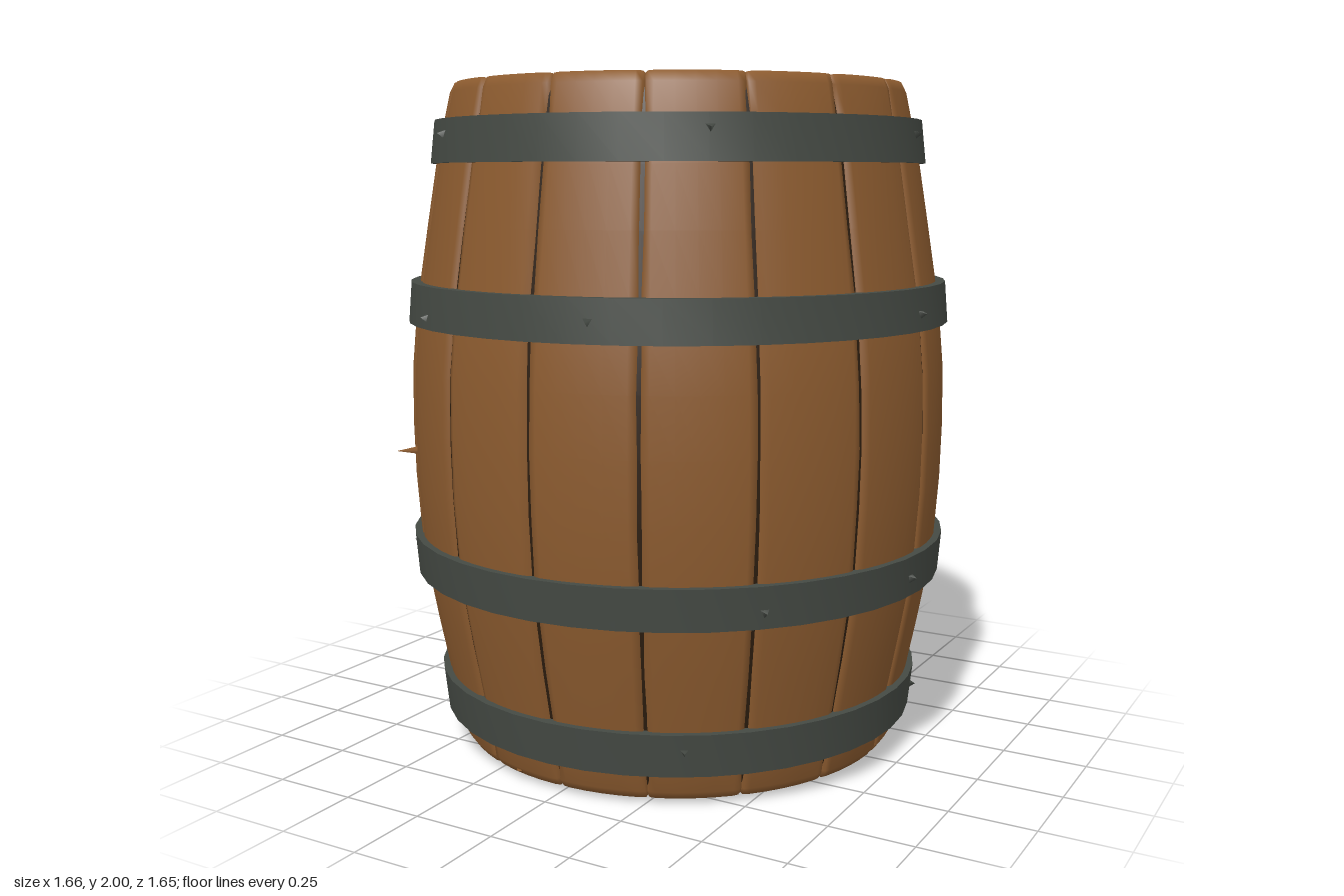
import * as THREE from 'three';
import { toCreasedNormals } from 'three/addons/utils/BufferGeometryUtils.js';

const STAVES = 16;

// Side profile [radius, height] from the inner bottom lip to the inner top lip
const PROFILE = [
  [0.585, 0.075], [0.592, 0.04], [0.62, 0.02], [0.665, 0.016], [0.682, 0.04], [0.7, 0.12],
  [0.727, 0.25], [0.755, 0.39], [0.782, 0.54], [0.798, 0.66], [0.81, 0.83], [0.814, 1.0],
  [0.81, 1.17], [0.798, 1.3], [0.782, 1.42], [0.755, 1.59], [0.727, 1.76], [0.7, 1.89],
  [0.682, 1.97], [0.668, 1.998], [0.62, 1.995], [0.592, 1.975], [0.585, 1.94],
];

function makeRandom(seed) {
  return () => {
    seed = (seed * 16807) % 2147483647;
    return seed / 2147483647;
  };
}

// Profile point pushed inward along its own normal
function inset(i, depth) {
  const a = PROFILE[Math.max(i - 1, 0)];
  const b = PROFILE[Math.min(i + 1, PROFILE.length - 1)];
  const dr = b[0] - a[0], dy = b[1] - a[1], len = Math.hypot(dr, dy);
  return [PROFILE[i][0] - (dy / len) * depth, PROFILE[i][1] + (dr / len) * depth];
}

// One stave: rounded across, sunk at its two long edges
function staveGeometry(angle, random) {
  const half = Math.PI / STAVES;
  const positions = [], index = [];
  const columns = 9;
  PROFILE.forEach((p, j) => {
    const rim = j < 5 || j > PROFILE.length - 6;
    const k = rim ? 0.3 : 1;
    const left = 0.94 + random() * 0.03, right = 0.94 + random() * 0.03;
    const section = [
      [-1, 0.03], [-left, 0.007], [-0.82, 0.001], [-0.4, 0], [0, 0],
      [0.4, 0], [0.82, 0.001], [right, 0.007], [1, 0.03],
    ];
    for (const [u, depth] of section) {
      const [r, y] = inset(j, depth * k);
      const t = angle + u * half;
      positions.push(r * Math.sin(t), y, r * Math.cos(t));
    }
  });
  for (let j = 0; j < PROFILE.length - 1; j++) {
    for (let i = 0; i < columns - 1; i++) {
      const a = j * columns + i;
      index.push(a, a + 1, a + columns, a + 1, a + columns + 1, a + columns);
    }
  }
  const geometry = new THREE.BufferGeometry();
  geometry.setAttribute('position', new THREE.Float32BufferAttribute(positions, 3));
  geometry.setIndex(index);
  geometry.computeVertexNormals();
  return geometry;
}

// Flat plank cut to the round head
function plankGeometry(x0, x1, radius, depth) {
  const steps = 10, top = [], bottom = [];
  for (let i = 0; i <= steps; i++) {
    const x = x0 + ((x1 - x0) * i) / steps;
    const z = Math.sqrt(Math.max(radius * radius - x * x, 0));
    bottom.push(new THREE.Vector2(x, -z));
    top.unshift(new THREE.Vector2(x, z));
  }
  const geometry = new THREE.ExtrudeGeometry(new THREE.Shape([...bottom, ...top]), { depth, bevelEnabled: false });
  return geometry.rotateX(-Math.PI / 2);
}

export function createModel() {
  const wood = new THREE.MeshStandardMaterial({ color: 0x8c5b2f });
  wood.name = 'wood';
  const iron = new THREE.MeshStandardMaterial({ color: 0x454a44 });
  iron.name = 'iron';
  const gap = new THREE.MeshStandardMaterial({ color: 0x2c1d0f });
  gap.name = 'dark gap';

  const random = makeRandom(4217);
  const barrel = new THREE.Group();
  barrel.name = 'barrel';
  const add = (parent, name, geometry, material) => {
    const mesh = new THREE.Mesh(geometry, material);
    mesh.name = name;
    parent.add(mesh);
    return mesh;
  };

  // Staves over a dark core that shows through the joints
  const staves = new THREE.Group();
  staves.name = 'staves';
  barrel.add(staves);
  for (let i = 0; i < STAVES; i++) {
    add(staves, 'stave', staveGeometry(((i + 0.5) / STAVES) * Math.PI * 2, random), wood);
  }
  const corePoints = PROFILE.map((p, i) => new THREE.Vector2(...inset(i, 0.012)));
  add(barrel, 'stave joints', new THREE.LatheGeometry(corePoints, 64), gap);

  // Plank heads at top and bottom
  const makeHead = (name) => {
    const head = new THREE.Group();
    head.name = name;
    const edges = [-0.598, -0.31, 0, 0.31, 0.598];
    for (let i = 0; i < 4; i++) {
      add(head, 'head plank', plankGeometry(edges[i] + 0.004, edges[i + 1] - 0.004, 0.598, 0.015), wood);
    }
    const back = add(head, 'head joints', new THREE.CircleGeometry(0.598, 48), gap);
    back.rotation.x = -Math.PI / 2;
    back.position.y = 0.004;
    barrel.add(head);
    return head;
  };
  makeHead('top head').position.y = 1.945;
  const bottomHead = makeHead('bottom head');
  bottomHead.rotation.x = Math.PI;
  bottomHead.position.y = 0.07;

  // Iron hoops: [bottom, top, bottom radius, top radius]
  const hoops = [
    [0.105, 0.23, 0.73, 0.744], [0.54, 0.66, 0.81, 0.82],
    [1.3, 1.42, 0.82, 0.81], [1.765, 1.89, 0.744, 0.73],
  ];
  for (const [y0, y1, r0, r1] of hoops) {
    const hoop = new THREE.Group();
    hoop.name = 'hoop';
    barrel.add(hoop);
    const section = [[r0 - 0.06, y0], [r0, y0], [r1, y1], [r1 - 0.06, y1]];
    const band = new THREE.LatheGeometry(section.map((p) => new THREE.Vector2(...p)), 40);
    add(hoop, 'hoop band', toCreasedNormals(band, 0.6), iron);
    // Small hammered burrs
    for (let i = 0; i < 5; i++) {
      const t = ((i + random() * 0.7) / 5) * Math.PI * 2;
      const burr = add(hoop, 'hoop burr', new THREE.ConeGeometry(0.022, 0.03, 3), iron);
      const r = Math.min(r0, r1) + 0.008;
      burr.position.set(r * Math.sin(t), y0 + (y1 - y0) * (0.25 + random() * 0.5), r * Math.cos(t));
      burr.rotation.set(Math.PI / 2, 0, -t, 'YXZ');
      burr.rotation.y = t;
      burr.rotation.z = 0;
    }
  }

  // Splinters: one on the belly, one under the front edge
  const splinter = add(barrel, 'belly splinter', new THREE.ConeGeometry(0.018, 0.1, 4), wood);
  splinter.position.set(-0.575, 0.92, 0.585);
  splinter.rotation.set(Math.PI / 2, -Math.PI / 4, 0, 'YXZ');
  const chip = add(barrel, 'bottom splinter', new THREE.ConeGeometry(0.05, 0.03, 4), wood);
  chip.position.set(-0.15, 0.015, 0.62);
  chip.rotation.x = Math.PI;

  return barrel;
}
